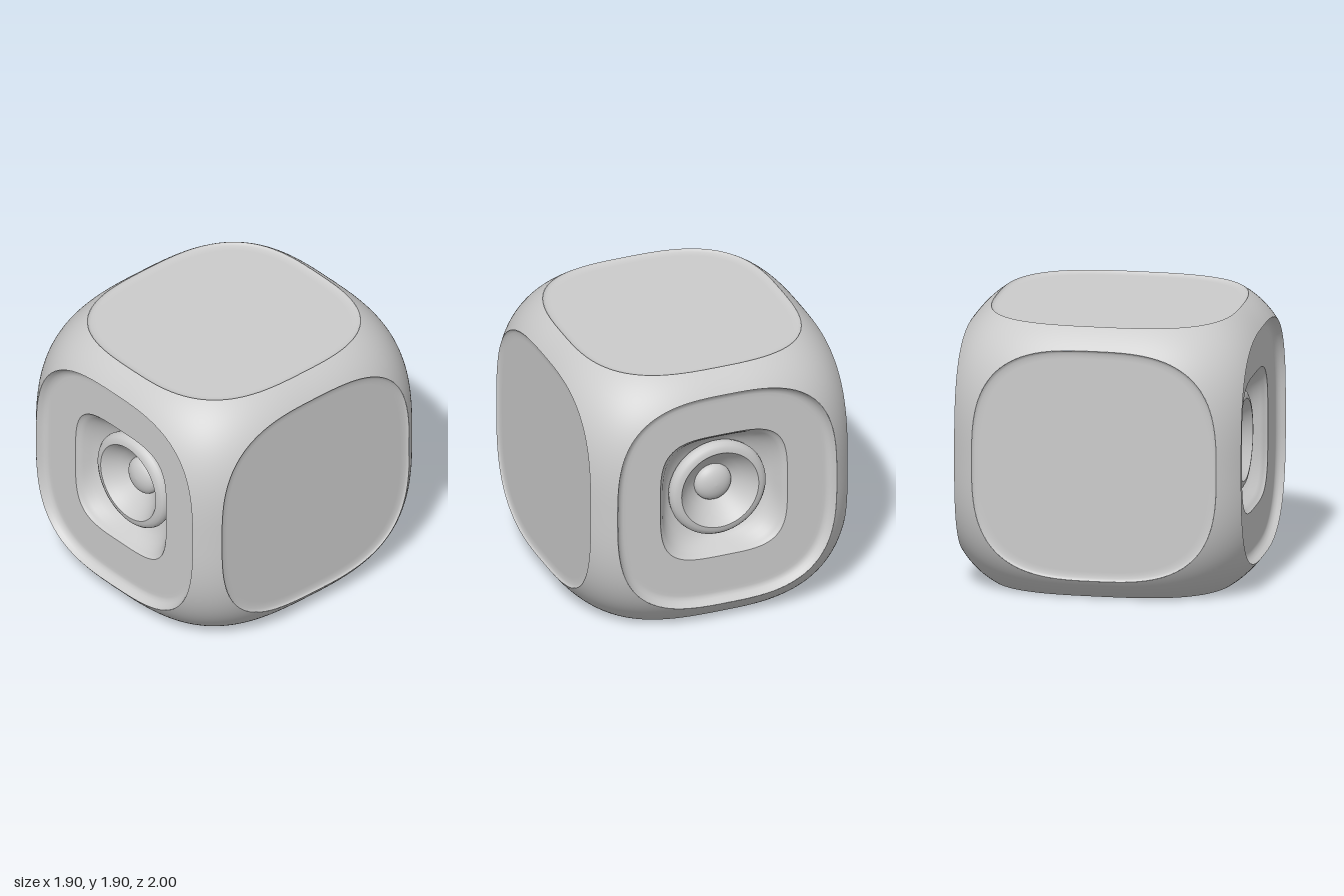
import * as THREE from 'three';

const SIDE = 32;           // steps along each side of a face
const POWER = 3;           // roundness of the body
const RIM = 0.853;         // half width of a face opening, on a unit cube
const S = 0.95;            // half width of the body; half depth is 1
const material = new THREE.MeshStandardMaterial({ color: 0xcccccc });

// Rays from the centre of a face to its square border, counterclockwise
const rays = [];
for (let side = 0; side < 4; side++) {
  for (let i = 0; i < SIDE; i++) {
    const v = -1 + (2 * i) / SIDE;
    rays.push([[1, v], [-v, 1], [-1, -v], [v, -1]][side]);
  }
}

const norm = (p, ...c) => c.reduce((sum, a) => sum + Math.abs(a) ** p, 0) ** (1 / p);

// Superellipse ring: p = 2 is a circle, larger p is squarer
function ring(half, p, z) {
  return rays.map(([u, v]) => {
    const k = half / norm(p, u, v);
    return [u * k, v * k, z];
  });
}

// Skin closed rings, ordered from the outside inwards
function loft(rings) {
  const n = rays.length, index = [];
  for (let r = 0; r < rings.length - 1; r++) {
    for (let i = 0; i < n; i++) {
      const a = r * n + i, b = r * n + (i + 1) % n;
      index.push(a, b, b + n, a, b + n, a + n);
    }
  }
  const geometry = new THREE.BufferGeometry();
  geometry.setAttribute('position', new THREE.Float32BufferAttribute(rings.flat(2), 3));
  geometry.setIndex(index);
  geometry.computeVertexNormals();
  return geometry;
}

// One sixth of the rounded body, from the cube seams to the opening rim
function shellGeometry() {
  const rows = 12, rings = [];
  const R = norm(POWER, RIM, 1);
  for (let r = 0; r <= rows; r++) {
    rings.push(rays.map(([u, v]) => {
      const inner = RIM / norm(POWER, u, v);
      const k = THREE.MathUtils.lerp(1, inner, r / rows);
      const s = R / norm(POWER, u * k, v * k, 1);
      return [u * k * s, v * k * s, s];
    }));
  }
  const geometry = loft(rings);
  // Exact normals so that neighbouring sixths join smoothly
  const normals = rings.flat().flatMap(([x, y, z]) =>
    new THREE.Vector3(x * Math.abs(x), y * Math.abs(y), z * Math.abs(z)).normalize().toArray());
  geometry.setAttribute('normal', new THREE.Float32BufferAttribute(normals, 3));
  return geometry;
}

// Profile rows are [half width, power, z], in model units
const profile = (rows) => loft(rows.map(([h, p, z]) => ring(h / S, p, z)));

function dome(radius, base, height) {
  const rows = [];
  for (let i = 0; i <= 8; i++) {
    const a = (i / 8) * Math.PI / 2;
    rows.push([radius * Math.cos(a), 2, base + height * Math.sin(a)]);
  }
  return profile(rows);
}

// Plain, slightly recessed panel
const plainFace = () => ({
  panel: profile([
    [0.81, 3, 1], [0.805, 3, 0.99], [0.79, 3, 0.984], [0.77, 3, 0.981],
    [0.75, 3, 0.98], [0.4, 3, 0.98], [0, 3, 0.98],
  ]),
});

// Recessed baffle with a rounded square dish and a round driver
const speakerFace = () => ({
  baffle: profile([
    [0.81, 3, 1], [0.795, 3, 0.97], [0.78, 3, 0.953], [0.762, 3, 0.943],
    [0.745, 3, 0.94], [0.72, 3, 0.94], [0.47, 3.8, 0.94],
  ]),
  dish: profile([
    [0.47, 3.8, 0.94], [0.462, 3.8, 0.925], [0.45, 3.7, 0.916], [0.435, 3.5, 0.895],
    [0.415, 3.1, 0.855], [0.39, 2.6, 0.815], [0.36, 2.2, 0.785], [0.33, 2, 0.77],
  ]),
  surround: profile([
    [0.33, 2, 0.76], [0.35, 2, 0.79], [0.355, 2, 0.815], [0.35, 2, 0.838],
    [0.335, 2, 0.857], [0.312, 2, 0.869], [0.285, 2, 0.873],
  ]),
  cone: profile([
    [0.285, 2, 0.873], [0.25, 2, 0.83], [0.2, 2, 0.778], [0.135, 2, 0.73],
  ]),
  dustCap: dome(0.135, 0.73, 0.075),
});

export function createModel() {
  const model = new THREE.Group();
  model.name = 'cubeSpeaker';
  const q = Math.PI / 2;
  const faces = [
    ['front', 0, 0, speakerFace], ['back', 0, 2 * q, speakerFace],
    ['left', 0, q, plainFace], ['right', 0, -q, plainFace],
    ['top', -q, 0, plainFace], ['bottom', q, 0, plainFace],
  ];
  // Turn each face to its side, then stretch the cube to size and stand it up
  for (const [side, rx, ry, makeFace] of faces) {
    const group = new THREE.Group();
    group.name = side + 'Side';
    const matrix = new THREE.Matrix4().makeTranslation(0, S, 0)
      .multiply(new THREE.Matrix4().makeScale(S, S, 1))
      .multiply(new THREE.Matrix4().makeRotationFromEuler(new THREE.Euler(rx, ry, 0)));
    for (const [name, geometry] of Object.entries({ shell: shellGeometry(), ...makeFace() })) {
      const mesh = new THREE.Mesh(geometry.applyMatrix4(matrix), material);
      mesh.name = name;
      group.add(mesh);
    }
    model.add(group);
  }
  return model;
}
